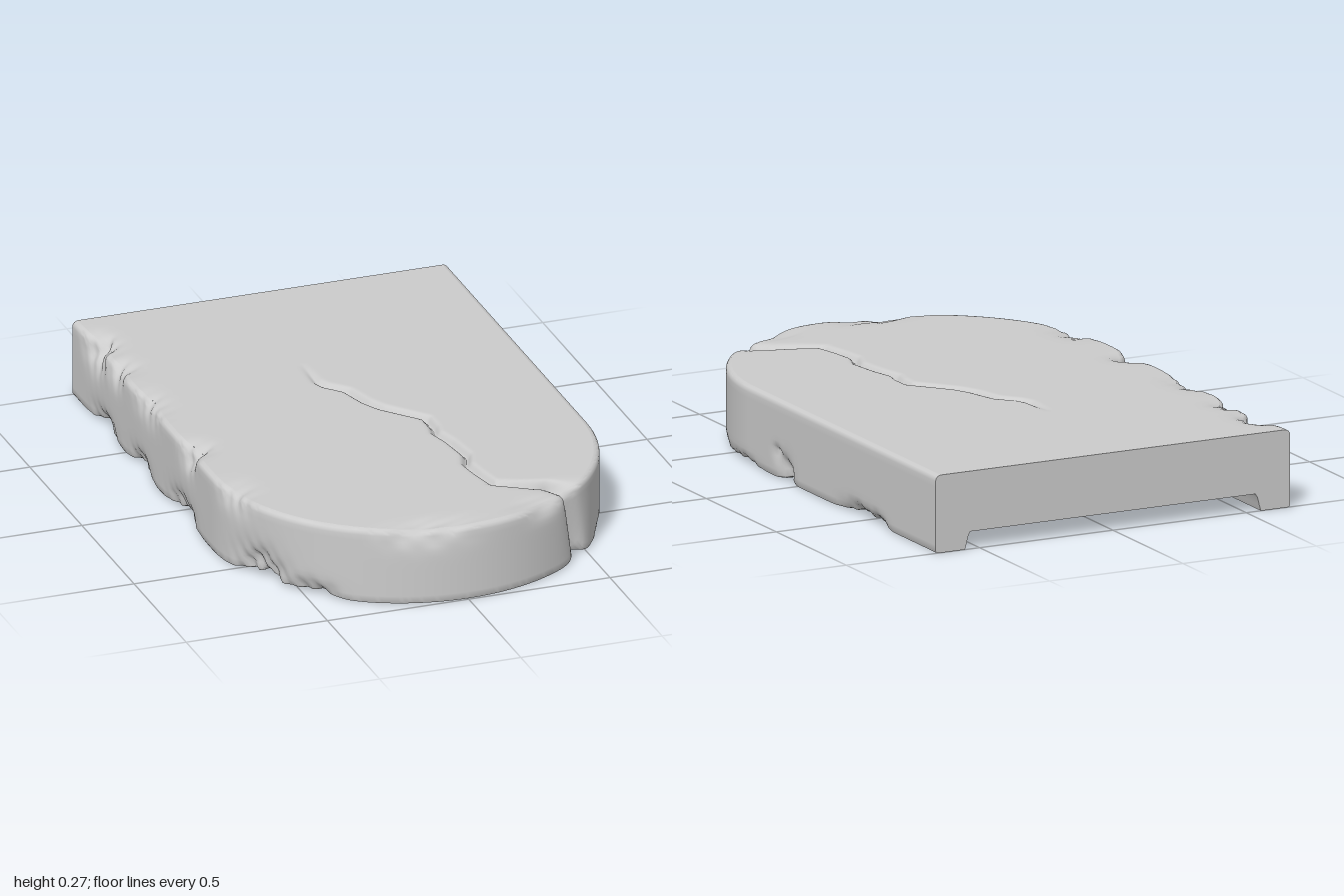
import * as THREE from 'three';
import { mergeVertices, toCreasedNormals } from 'three/addons/utils/BufferGeometryUtils.js';

const R = 0.665, H = 0.267, ZC = 0.335;   // half width, thickness, arch centre
const FLOOR = 0.06, RIM = 0.11, BEVEL = 0.02;
const { clamp, smoothstep, lerp } = THREE.MathUtils;

// Path of the crack as [x, z], running from the middle to the arched edge
const CRACK = [[-0.07, -0.4], [-0.07, -0.27], [-0.055, -0.23], [0, -0.17], [0.03, -0.06], [0.06, 0],
  [0.11, 0.06], [0.17, 0.13], [0.17, 0.2], [0.16, 0.25], [0.18, 0.33], [0.195, 0.45], [0.17, 0.52],
  [0.18, 0.6], [0.2, 0.7], [0.3, 0.74], [0.37, 0.77], [0.4, 0.81], [0.47, 0.9]];

// Knocked-off spots: centre x, y, z, radii x, y, z, depth
const CHIPS = [
  [-0.6, 0, 0.62, 0.1, 0.09, 0.1, 0.04], [-0.48, 0, 0.8, 0.09, 0.04, 0.07, 0.025],
  [0.665, 0.02, 0.07, 0.06, 0.05, 0.04, 0.025], [0.665, 0.08, 0.13, 0.05, 0.02, 0.03, 0.012],
  [0.665, 0, -0.45, 0.06, 0.03, 0.1, 0.025], [0.665, 0, -0.58, 0.06, 0.025, 0.06, 0.02],
  [0.665, 0, 0.4, 0.06, 0.02, 0.12, 0.015], [0.6, 0, 0.62, 0.06, 0.025, 0.08, 0.015],
  [-0.665, H, -0.8, 0.06, 0.07, 0.08, 0.045], [-0.665, H, -0.6, 0.06, 0.05, 0.06, 0.03],
  [-0.665, H, -0.3, 0.06, 0.05, 0.1, 0.02], [-0.665, H, 0.1, 0.06, 0.06, 0.06, 0.035],
  [-0.64, H, 0.48, 0.06, 0.05, 0.09, 0.02], [-0.15, H, 0.97, 0.15, 0.05, 0.06, 0.02],
  [-0.665, 0, -0.7, 0.06, 0.05, 0.09, 0.03], [-0.665, 0, -0.35, 0.06, 0.05, 0.08, 0.03],
  [-0.665, 0, 0.05, 0.06, 0.06, 0.1, 0.035], [0.3, H, 0.92, 0.1, 0.04, 0.06, 0.015],
];

function crackX(z) {
  if (z <= CRACK[0][1]) return CRACK[0][0];
  for (let i = 1; i < CRACK.length; i++) {
    const [x0, z0] = CRACK[i - 1], [x1, z1] = CRACK[i];
    if (z <= z1) return lerp(x0, x1, (z - z0) / (z1 - z0));
  }
  return CRACK[CRACK.length - 1][0];
}

function crackDistance(x, z) {
  let best = 9;
  for (let i = 1; i < CRACK.length; i++) {
    const [x0, z0] = CRACK[i - 1], [x1, z1] = CRACK[i];
    const dx = x1 - x0, dz = z1 - z0;
    const t = clamp(((x - x0) * dx + (z - z0) * dz) / (dx * dx + dz * dz), 0, 1);
    best = Math.min(best, Math.hypot(x - x0 - t * dx, z - z0 - t * dz));
  }
  return best;
}

// Weathering: carves the crack and the chips into any point of the slab
function weather(p) {
  const { x, y, z } = p;
  const zr = Math.max(z - ZC, 0), r = Math.hypot(x, zr) || 1;
  const nearRim = smoothstep(r, 0.5, R);
  const atEdge = smoothstep(z, 0.7, 0.8);
  // the crack leans sideways on its way down the arched wall
  const d = crackDistance(x - 0.07 * (1 - y / H) * atEdge, z);
  const width = lerp(0.013, 0.026, atEdge);
  const groove = Math.exp(-((d / width) ** 2)) * smoothstep(z, -0.45, -0.1);
  const wide = Math.exp(-((d / 0.06) ** 2)) * atEdge;
  const side = clamp((y / H - 0.5) * 2.2, -1, 1);
  p.y -= side * (groove * lerp(0.022, 0.05, atEdge) + wide * 0.012 * nearRim);
  let inward = nearRim * (groove * 0.05 + wide * 0.015);
  // chips and a slight waviness, fading out towards the flat end
  const fade = smoothstep(z, -1, -0.9);
  for (const [cx, cy, cz, rx, ry, rz, depth] of CHIPS) {
    const q = ((x - cx) / rx) ** 2 + ((y - cy) / ry) ** 2 + ((z - cz) / rz) ** 2;
    if (q > 6) continue;
    const rough = 1 + 0.3 * Math.sin(z * 70 + x * 40) * Math.cos(y * 60 + z * 31);
    const bite = depth * Math.exp(-q) * fade * rough;
    inward += bite;
    p.y += (cy < H / 2 ? 0.7 : -0.7) * bite;
  }
  p.x -= inward * x / r;
  p.z -= inward * zr / r;
  return p;
}

// Surface from a point rule over u and v in 0..1
function surface(rule, nu, nv, crease) {
  const pos = [], index = [];
  for (let i = 0; i <= nu; i++) for (let j = 0; j <= nv; j++) {
    const p = weather(rule(i / nu, j / nv));
    pos.push(p.x, p.y, p.z);
    if (i < nu && j < nv) {
      const a = i * (nv + 1) + j, b = a + nv + 1;
      index.push(a, b, a + 1, b, b + 1, a + 1);
    }
  }
  let g = new THREE.BufferGeometry();
  g.setAttribute('position', new THREE.Float32BufferAttribute(pos, 3));
  g.setIndex(index);
  if (crease) return toCreasedNormals(mergeVertices(g), crease);
  g.computeVertexNormals();
  return g;
}

// Point on the arched outline, moved inwards by inset
const STRAIGHT = 1 + ZC, ARC = Math.PI * R, LENGTH = 2 * STRAIGHT + ARC;
function outline(u, inset, y) {
  const s = u * LENGTH, r = R - inset;
  if (s < STRAIGHT) return new THREE.Vector3(r, y, -1 + s);
  if (s > STRAIGHT + ARC) return new THREE.Vector3(-r, y, -1 + LENGTH - s);
  const a = (s - STRAIGHT) / R;
  return new THREE.Vector3(r * Math.cos(a), y, ZC + r * Math.sin(a));
}

// Flat arched panel whose columns gather around the crack
function panel(inset, y, faceDown) {
  const r = R - inset, split = STRAIGHT / (STRAIGHT + r);
  return surface((u, v) => {
    let z, w = r;
    if (u < split) z = lerp(-1, ZC, u / split);
    else {
      const a = (u - split) / (1 - split) * Math.PI / 2;
      z = ZC + r * Math.sin(a);
      w = r * Math.cos(a);
    }
    const c = Math.min(crackX(z), w * 0.92);
    const t = (faceDown ? -1 : 1) * (2 * v - 1);
    const x = lerp(c, Math.sign(t) * w, Math.abs(t) ** 1.8);
    return new THREE.Vector3(x, y, z);
  }, 240, 80);
}

// Cross-section of the border as [inset, y], from the top edge to the recess
function borderProfile() {
  const pts = [];
  for (let i = 0; i <= 4; i++) {
    const a = i / 4 * Math.PI / 2;
    pts.push([BEVEL * (1 - Math.sin(a)), H - BEVEL * (1 - Math.cos(a))]);
  }
  for (let i = 1; i <= 12; i++) pts.push([0, lerp(H - BEVEL, 0.008, i / 12)]);
  pts.push([0.003, 0.002], [0.01, 0]);
  for (let i = 1; i <= 4; i++) pts.push([lerp(0.01, RIM, i / 4), 0]);
  pts.push([RIM + 0.006, 0.02], [RIM + 0.012, 0.045], [RIM + 0.02, FLOOR]);
  return pts;
}

export function createModel() {
  const group = new THREE.Group();
  group.name = 'crackedArchedSlab';
  const stone = new THREE.MeshStandardMaterial({ color: 0xcccccc });
  const add = (name, geometry) => {
    const mesh = new THREE.Mesh(geometry, stone);
    mesh.name = name;
    group.add(mesh);
    return mesh;
  };
  const profile = borderProfile(), n = profile.length - 1;

  // Outer wall, raised rim and inner wall in one sweep
  add('borderWall', surface((u, v) => outline(u, ...profile[Math.round(v * n)]), 360, n, 0.75));
  // Upper face and sunken lower face, both split by the crack
  add('topFace', panel(BEVEL, H, false));
  add('recessFace', panel(RIM + 0.02, FLOOR, true));

  // Flat end, showing the channel section between the two rims
  const half = profile.map(([inset, y]) => new THREE.Vector2(R - inset, y));
  const mirrored = half.map((p) => new THREE.Vector2(-p.x, p.y)).reverse();
  const end = add('flatEnd', new THREE.ShapeGeometry(new THREE.Shape([...half, ...mirrored])));
  end.rotation.y = Math.PI;
  end.position.z = -1;
  return group;
}
